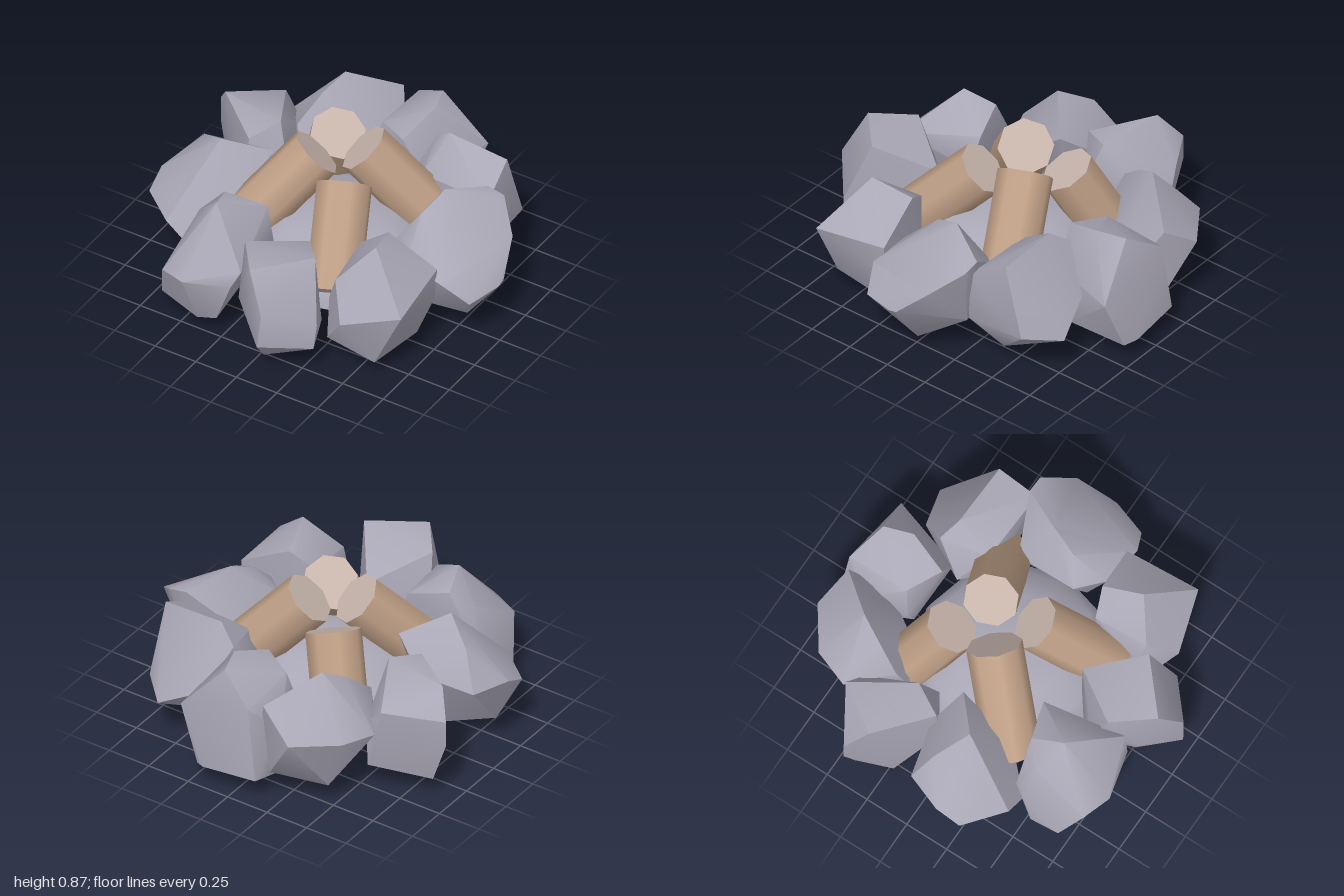
import * as THREE from 'three';
import { ConvexGeometry } from 'three/addons/geometries/ConvexGeometry.js';
import { toCreasedNormals } from 'three/addons/utils/BufferGeometryUtils.js';

const material = (name, color) => {
  const m = new THREE.MeshStandardMaterial({ color });
  m.name = name;
  return m;
};

export function createModel() {
  const stone = material('stone', 0xaaa7b6);
  const bark = material('bark', 0xbf9f86);
  const cutWood = material('cutWood', 0xc6b4ab);
  const model = new THREE.Group();
  model.name = 'campfire';

  const add = (name, geometry, mat) => {
    const mesh = new THREE.Mesh(geometry, mat);
    mesh.name = name;
    model.add(mesh);
    return mesh;
  };

  // A chipped boulder: the hull around its crown, belly and foot corners
  const rock = (name, crown, belly, foot) => {
    const points = [...crown, ...belly, ...foot].map((p) => new THREE.Vector3(...p));
    add(name, toCreasedNormals(new ConvexGeometry(points), 0.75), stone);
  };

  // Ring of boulders, counter-clockwise from the front
  rock('frontRock',
    [[-0.14, 0.64, 0.69], [0.07, 0.53, 0.39], [0.28, 0.69, 0.67], [0.02, 0.65, 0.9]],
    [[0.365, 0.35, 0.79], [0.14, 0.44, 0.98], [0.12, 0.24, 0.99], [-0.18, 0.38, 0.61], [-0.08, 0.4, 0.85]],
    [[0.02, 0, 0.76], [0.35, 0.2, 0.8], [-0.1, 0.18, 0.5], [0.2, 0.12, 0.48]]);
  rock('frontLeftRock',
    [[0.36, 0.53, 0.6], [0.53, 0.73, 0.47], [0.75, 0.51, 0.22], [0.47, 0.66, 0.25], [0.33, 0.57, 0.3]],
    [[0.79, 0.47, 0.64], [0.47, 0.36, 0.73], [0.74, 0.32, 0.23], [0.31, 0.38, 0.58]],
    [[0.31, 0.13, 0.6], [0.62, 0.11, 0.63], [0.65, 0.08, 0.26], [0.48, 0.08, 0.35], [0.36, 0.15, 0.28]]);
  rock('leftRock',
    [[0.58, 0.74, -0.13], [0.7, 0.66, -0.36], [0.8, 0.64, -0.36], [0.53, 0.66, 0.03]],
    [[0.94, 0.52, -0.22], [0.99, 0.35, 0], [0.99, 0.36, -0.05], [0.93, 0.33, 0.19], [0.8, 0.44, 0.25],
      [0.56, 0.48, 0.22], [0.42, 0.5, 0.1], [0.43, 0.45, -0.25], [0.72, 0.27, -0.31]],
    [[0.78, 0.07, -0.03], [0.55, 0.15, 0.1], [0.5, 0.2, -0.22]]);
  rock('backLeftRock',
    [[0.34, 0.73, -0.56], [0.7, 0.71, -0.55], [0.23, 0.64, -0.61], [0.72, 0.58, -0.33], [0.3, 0.58, -0.35]],
    [[0.15, 0.42, -0.45], [0.32, 0.4, -0.76], [0.56, 0.28, -0.83], [0.72, 0.31, -0.67],
      [0.73, 0.3, -0.33], [0.3, 0.35, -0.33]],
    [[0.6, 0.1, -0.46], [0.38, 0.12, -0.5]]);
  rock('backRock',
    [[-0.1, 0.57, -0.96], [0.1, 0.7, -0.88], [0.15, 0.71, -0.72], [0.085, 0.62, -0.5], [-0.1, 0.6, -0.6]],
    [[0.345, 0.42, -0.93], [0.21, 0.42, -0.51], [-0.2, 0.4, -0.8], [-0.15, 0.4, -0.56]],
    [[-0.16, 0.15, -0.98], [0.16, 0.13, -1], [0.22, 0.11, -0.96], [0.22, 0.1, -0.6],
      [-0.06, 0.1, -0.58], [-0.19, 0.13, -0.83]]);
  rock('backRightRock',
    [[-0.38, 0.76, -0.68], [-0.17, 0.6, -0.92], [-0.5, 0.55, -0.4], [-0.44, 0.68, -0.55]],
    [[-0.37, 0.45, -0.98], [-0.6, 0.46, -0.82], [-0.67, 0.44, -0.62], [-0.11, 0.45, -0.84],
      [-0.12, 0.4, -0.66], [-0.25, 0.35, -0.45], [-0.47, 0.4, -0.34]],
    [[-0.35, 0.07, -0.63], [-0.48, 0.13, -0.77], [-0.2, 0.18, -0.9]]);
  rock('rightRearRock',
    [[-0.89, 0.66, -0.31], [-0.69, 0.57, -0.59], [-0.51, 0.66, -0.25], [-0.6, 0.62, -0.08]],
    [[-0.98, 0.52, -0.41], [-0.98, 0.37, -0.41], [-0.57, 0.45, -0.55], [-0.42, 0.42, -0.18], [-0.6, 0.35, -0.06]],
    [[-0.78, 0, -0.23], [-0.6, 0.2, -0.58], [-0.52, 0.12, -0.2], [-0.89, 0.12, -0.4]]);
  rock('rightFrontRock',
    [[-0.63, 0.76, 0.15], [-0.8, 0.65, 0.04], [-0.42, 0.65, -0.03], [-0.77, 0.51, 0.34]],
    [[-0.97, 0.38, 0.31], [-0.98, 0.45, 0.17], [-0.76, 0.38, 0.48], [-0.62, 0.27, 0.48],
      [-0.43, 0.4, 0.28], [-0.9, 0.45, -0.04], [-0.6, 0.5, -0.11]],
    [[-0.66, 0.1, 0.33], [-0.88, 0.16, 0.2], [-0.58, 0.1, 0.05]]);
  rock('frontRightRock',
    [[-0.385, 0.72, 0.58], [-0.54, 0.56, 0.5], [-0.22, 0.61, 0.34], [-0.44, 0.66, 0.41]],
    [[-0.11, 0.5, 0.78], [-0.15, 0.41, 0.82], [-0.41, 0.38, 0.88], [-0.57, 0.36, 0.82], [-0.165, 0.42, 0.37],
      [-0.64, 0.3, 0.5], [-0.6, 0.35, 0.42]],
    [[-0.64, 0.12, 0.71], [-0.66, 0.14, 0.55], [-0.4, 0.07, 0.75], [-0.28, 0.11, 0.75], [-0.42, 0.1, 0.42]]);

  // Low dome of ash with a flat underside
  const profile = [[0, 0.2], [0.54, 0.2], [0.52, 0.28], [0.45, 0.37], [0.3, 0.45], [0, 0.5]];
  const dome = new THREE.LatheGeometry(profile.map(([r, y]) => new THREE.Vector2(r, y)), 12);
  add('ashDome', toCreasedNormals(dome, 0.8), stone);

  // Logs leaning in towards the middle: sawn end, then buried end
  const log = (name, top, bottom) => {
    const a = new THREE.Vector3(...top);
    const b = new THREE.Vector3(...bottom);
    const axis = a.clone().sub(b);
    const geometry = new THREE.CylinderGeometry(0.15, 0.15, axis.length(), 8);
    const mesh = add(name, geometry, [bark, cutWood, cutWood]);
    mesh.position.copy(a).add(b).multiplyScalar(0.5);
    mesh.quaternion.setFromUnitVectors(new THREE.Vector3(0, 1, 0), axis.normalize());
  };
  log('frontLog', [0.09, 0.71, 0.08], [0.25, 0.3, 0.45]);
  log('leftLog', [0.05, 0.77, -0.17], [0.42, 0.34, -0.33]);
  log('backLog', [-0.17, 0.71, -0.27], [-0.33, 0.31, -0.43]);
  log('rightLog', [-0.145, 0.76, -0.02], [-0.45, 0.32, 0.3]);

  return model;
}
